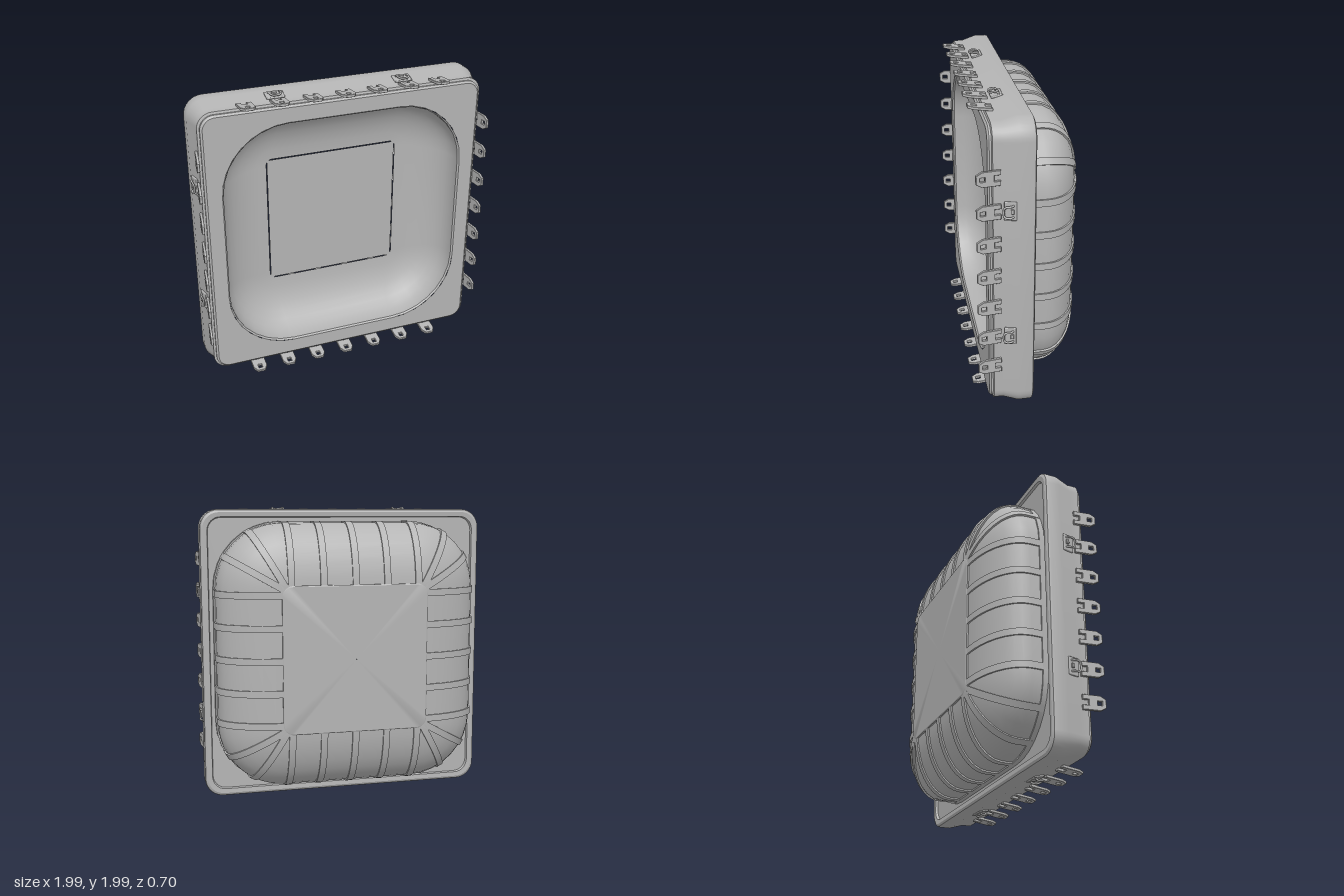
import * as THREE from 'three';
import { toCreasedNormals } from 'three/addons/utils/BufferGeometryUtils.js';
import { RoundedBoxGeometry } from 'three/addons/geometries/RoundedBoxGeometry.js';

const grey = new THREE.MeshStandardMaterial({ color: 0xb4b4b4 });
grey.name = 'grey plastic';

function add(parent, name, geometry) {
  const mesh = new THREE.Mesh(geometry, grey);
  mesh.name = name;
  parent.add(mesh);
  return mesh;
}

// Skin over rounded-square rings [half size, corner radius, z]
function loft(rings, steps, crease = 0.5) {
  const pos = [], index = [];
  const count = 4 * (steps + 1);
  for (const [h, r, z] of rings) {
    for (let c = 0; c < 4; c++) {
      const mid = Math.PI / 4 + c * Math.PI / 2;
      const cx = Math.sign(Math.cos(mid)) * (h - r), cy = Math.sign(Math.sin(mid)) * (h - r);
      for (let k = 0; k <= steps; k++) {
        const a = (c + k / steps) * Math.PI / 2;
        pos.push(cx + r * Math.cos(a), cy + r * Math.sin(a), z);
      }
    }
  }
  for (let i = 0; i < rings.length - 1; i++) {
    for (let j = 0; j < count; j++) {
      const a = i * count + j, b = i * count + (j + 1) % count;
      index.push(a, b, b + count, a, b + count, a + count);
    }
  }
  const g = new THREE.BufferGeometry();
  g.setAttribute('position', new THREE.Float32BufferAttribute(pos, 3));
  g.setIndex(index);
  return toCreasedNormals(g, crease);
}

// Quarter-ellipse samples, from t = 0 to t = 1
function quarter(n, fn) {
  return Array.from({ length: n + 1 }, (_, i) => {
    const a = (i / n) * Math.PI / 2;
    return fn(Math.cos(a), Math.sin(a));
  });
}

// Curved rib: band between two offset profiles, extruded to its width
function ribGeometry(width) {
  const outer = quarter(10, (c, s) => new THREE.Vector2(0.45 * c, -0.09 - 0.26 * s));
  const inner = quarter(10, (c, s) => new THREE.Vector2(0.425 * c, -0.09 - 0.235 * s)).reverse();
  const shape = new THREE.Shape([
    new THREE.Vector2(0.425, 0.01), new THREE.Vector2(0.45, 0.01), ...outer, ...inner,
  ]);
  const g = new THREE.ExtrudeGeometry(shape, { depth: width, bevelEnabled: false });
  g.translate(0, 0, -width / 2);
  return toCreasedNormals(g, 0.5);
}

// Forked latch with a tapered tip and a small slot; y runs toward the tip
function latchGeometry() {
  const s = new THREE.Shape();
  const half = [[0.02, 0.04], [0.02, 0], [0.046, 0], [0.046, 0.11], [0.026, 0.145]];
  half.forEach(([x, y], i) => (i ? s.lineTo(x, y) : s.moveTo(x, y)));
  half.slice().reverse().forEach(([x, y]) => s.lineTo(-x, y));
  s.closePath();
  const hole = new THREE.Path();
  hole.moveTo(-0.015, 0.09);
  hole.lineTo(-0.015, 0.125);
  hole.lineTo(0.015, 0.125);
  hole.lineTo(0.015, 0.09);
  hole.closePath();
  s.holes.push(hole);
  const g = new THREE.ExtrudeGeometry(s, {
    depth: 0.014, bevelEnabled: true, bevelSize: 0.002, bevelThickness: 0.002, bevelSegments: 1,
  });
  // shape y -> +z, thickness -> outward (+y)
  g.applyMatrix4(new THREE.Matrix4().makeBasis(
    new THREE.Vector3(-1, 0, 0), new THREE.Vector3(0, 0, 1), new THREE.Vector3(0, 1, 0)));
  return g;
}

export function createModel() {
  const root = new THREE.Group();
  root.name = 'squareHousing';
  const body = new THREE.Group();
  body.name = 'body';
  body.position.y = 1;
  root.add(body);

  // Frame: recessed back, rounded rim, tapered side, stepped front
  add(body, 'frame', loft([
    [0.8, 0.36, 0.012], [0.925, 0.09, 0.012], [0.93, 0.09, -0.005], [0.96, 0.11, -0.008],
    [0.975, 0.12, 0], [0.98, 0.125, 0.012], [0.98, 0.125, 0.09], [0.95, 0.1, 0.185],
    [0.95, 0.1, 0.245], [0.935, 0.09, 0.25], [0.935, 0.09, 0.262], [0.922, 0.08, 0.273],
    [0.825, 0.45, 0.273],
  ], 8));

  // Front basin with a flat floor
  add(body, 'basin', loft([
    [0.825, 0.45, 0.273], [0.815, 0.44, 0.262],
    ...quarter(8, (c, s) => [0.46 + 0.355 * c, 0.04 + 0.4 * c, 0.24 - 0.24 * s]),
  ], 7, 0.6));
  const floor = add(body, 'basinFloor', new THREE.PlaneGeometry(0.91, 0.91));
  floor.position.z = 0.0005;

  // Domed back shell
  add(body, 'backShell', loft([
    ...quarter(8, (c, s) => [0.45 + 0.44 * c, 0.01 + 0.43 * c, -0.09 - 0.25 * s]).reverse(),
    [0.89, 0.44, 0.015],
  ], 8, 0.6));
  add(body, 'shellBaseBand', loft([
    [0.885, 0.435, -0.022], [0.9, 0.45, -0.022], [0.9, 0.45, 0.015],
  ], 8));
  add(body, 'backPanel', loft([
    [0.001, 0.0005, -0.352], [0.485, 0.065, -0.352], [0.492, 0.07, -0.348], [0.492, 0.07, -0.325],
  ], 6));

  const rib = ribGeometry(0.045);
  const latch = latchGeometry();
  const plate = new RoundedBoxGeometry(0.12, 0.014, 0.075, 2, 0.006);
  const pin = new RoundedBoxGeometry(0.03, 0.02, 0.02, 1, 0.004);
  const loop = new THREE.TubeGeometry(new THREE.CatmullRomCurve3([
    [-0.036, 0, -0.02], [-0.036, 0.018, -0.008], [-0.034, 0.026, 0.025], [-0.022, 0.024, 0.037],
    [0.022, 0.024, 0.037], [0.034, 0.026, 0.025], [0.036, 0.018, -0.008], [0.036, 0, -0.02],
  ].map((p) => new THREE.Vector3(...p))), 28, 0.007, 6);

  // Same fittings on all four sides, +y being outward
  for (let i = 0; i < 4; i++) {
    const side = new THREE.Group();
    side.name = ['top', 'right', 'bottom', 'left'][i] + 'Side';
    side.rotation.z = i * Math.PI / 2;
    body.add(side);

    // Five straight ribs and two fanned corner ribs
    const ribs = [-0.43, -0.215, 0, 0.215, 0.43].map((x) => [x, 0]);
    ribs.push([0.45, Math.PI / 6], [0.45, Math.PI / 3]);
    for (const [x, a] of ribs) {
      const d = new THREE.Vector3(Math.sin(a), Math.cos(a), 0);
      const z = new THREE.Vector3(0, 0, 1);
      const m = add(side, 'shellRib', rib);
      m.quaternion.setFromRotationMatrix(
        new THREE.Matrix4().makeBasis(d, z, new THREE.Vector3().crossVectors(d, z)));
      m.position.set(x, 0.45, 0);
    }

    // Row of latches leaning slightly inward
    for (let k = -3; k <= 3; k++) {
      const m = add(side, 'latch', latch);
      m.position.set(k * 0.2145, 0.949, 0.203);
      m.rotation.x = -0.13;
    }

    // Two brackets with wire loops on the tapered band
    for (const x of [-0.43, 0.43]) {
      const bracket = new THREE.Group();
      bracket.name = 'loopBracket';
      bracket.position.set(x, 0.967, 0.145);
      bracket.rotation.x = 0.22;
      side.add(bracket);
      add(bracket, 'bracketPlate', plate);
      add(bracket, 'bracketLoop', loop);
      add(bracket, 'bracketPin', pin).position.set(0, 0.008, -0.012);
    }
  }
  return root;
}
